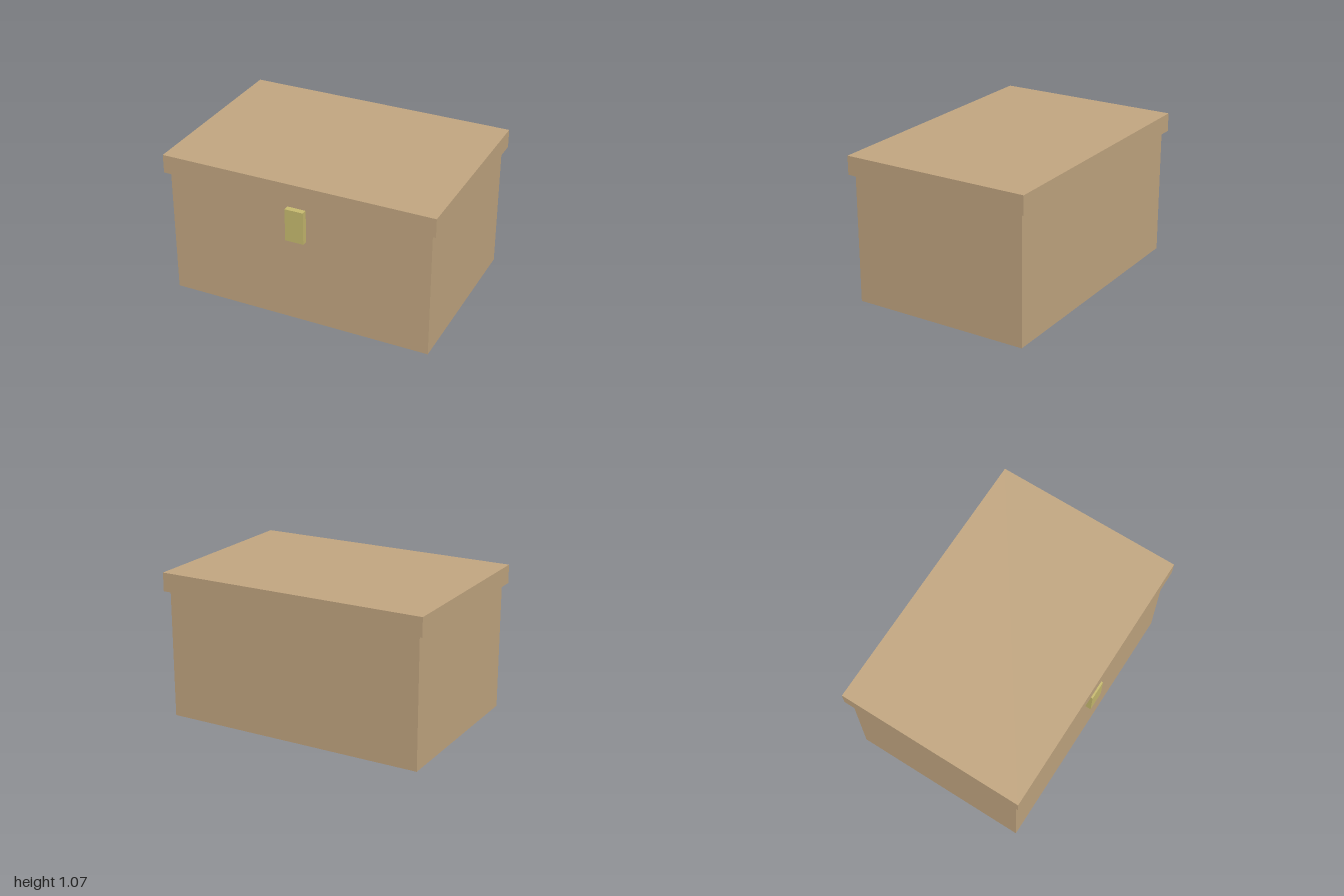
import * as THREE from 'three';

export function createModel() {
  const group = new THREE.Group();
  group.name = 'chest';

  const cardboard = new THREE.MeshStandardMaterial({ color: 0xc4a882 });
  cardboard.name = 'tan';
  const brass = new THREE.MeshStandardMaterial({ color: 0xc9bc70 });
  brass.name = 'pale brass';

  // Box spanning bottom to top and back to front, centred on x
  function addBox(name, material, width, bottom, top, back, front) {
    const mesh = new THREE.Mesh(new THREE.BoxGeometry(width, top - bottom, front - back), material);
    mesh.position.set(0, (bottom + top) / 2, (back + front) / 2);
    mesh.name = name;
    group.add(mesh);
  }

  addBox('body', cardboard, 1.932, 0, 0.935, -0.66, 0.652);
  // Lid overhangs the body on all sides
  addBox('lid', cardboard, 2, 0.935, 1.07, -0.693, 0.686);
  // Latch plate on the front
  addBox('latch', brass, 0.136, 0.64, 0.88, 0.645, 0.693);

  return group;
}
